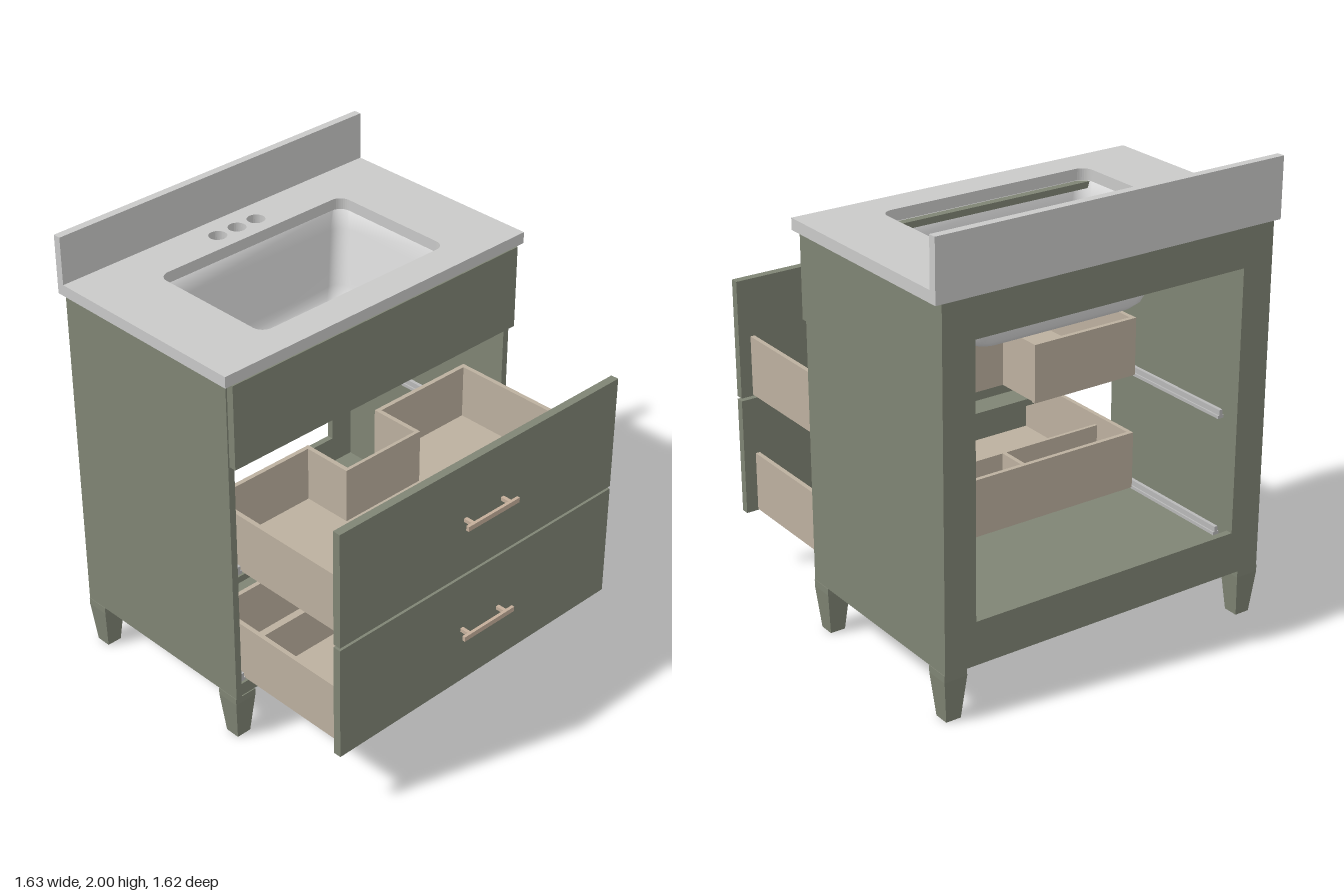
import * as THREE from 'three';
import { toCreasedNormals } from 'three/addons/utils/BufferGeometryUtils.js';

const mat = (name, color, side = THREE.FrontSide) => {
  const m = new THREE.MeshStandardMaterial({ color, side });
  m.name = name;
  return m;
};

// Outline of a rounded rectangle as points, hw/hd being half sizes
function roundedRect(hw, hd, r, perCorner = 8) {
  const pts = [];
  [[1, 1], [-1, 1], [-1, -1], [1, -1]].forEach(([sx, sy], c) => {
    for (let i = 0; i <= perCorner; i++) {
      const a = (c + i / perCorner) * Math.PI / 2;
      pts.push(new THREE.Vector2(sx * (hw - r) + r * Math.cos(a), sy * (hd - r) + r * Math.sin(a)));
    }
  });
  return pts;
}

// Basin shell lofted through rounded rectangles [halfWidth, halfDepth, radius, y]
function basinGeometry(sections) {
  const pos = [], idx = [];
  let n = 0;
  sections.forEach(([hw, hd, r, y]) => {
    const ring = roundedRect(hw, hd, r);
    n = ring.length;
    ring.forEach(p => pos.push(p.x, y, p.y));
  });
  for (let s = 0; s < sections.length - 1; s++) {
    for (let i = 0; i < n; i++) {
      const a = s * n + i, b = s * n + (i + 1) % n;
      idx.push(a, b, a + n, b, b + n, a + n);
    }
  }
  const g = new THREE.BufferGeometry();
  g.setAttribute('position', new THREE.Float32BufferAttribute(pos, 3));
  g.setIndex(idx);
  g.computeVertexNormals();
  return g;
}

export function createModel() {
  const green = mat('sagePaint', 0x7f8474);
  const wood = mat('drawerWood', 0xbcb09f);
  const stone = mat('counterStone', 0xc9c9c8);
  const ceramic = mat('basinCeramic', 0xd8d8d8, THREE.DoubleSide);
  const bronze = mat('handleMetal', 0xc4ae9a);
  const steel = mat('slideSteel', 0xb8b8b8);

  const model = new THREE.Group();
  model.name = 'vanity';
  const group = (name, parent = model) => {
    const g = new THREE.Group();
    g.name = name;
    parent.add(g);
    return g;
  };
  const add = (parent, name, geo, material) => {
    const m = new THREE.Mesh(geo, material);
    m.name = name;
    parent.add(m);
    return m;
  };
  // Box given by its limits on each axis
  const box = (parent, name, material, x0, x1, y0, y1, z0, z1) => {
    const m = add(parent, name, new THREE.BoxGeometry(x1 - x0, y1 - y0, z1 - z0), material);
    m.position.set((x0 + x1) / 2, (y0 + y1) / 2, (z0 + z1) / 2);
    return m;
  };

  // Cabinet: side panels, floor, open back frame, front rails
  const cabinet = group('cabinet');
  for (const s of [-1, 1]) {
    const side = (name, a, b, ...r) => box(cabinet, name, green, Math.min(s * a, s * b), Math.max(s * a, s * b), ...r);
    side('sidePanel', 0.755, 0.785, 0.22, 1.74, -0.81, 0.145);
    side('backStile', 0.64, 0.755, 0.41, 1.57, -0.81, -0.78);
  }
  box(cabinet, 'floor', green, -0.755, 0.755, 0.22, 0.28, -0.78, 0.14);
  box(cabinet, 'backBottomRail', green, -0.755, 0.755, 0.22, 0.41, -0.81, -0.78);
  box(cabinet, 'backTopRail', green, -0.755, 0.755, 1.57, 1.74, -0.81, -0.78);
  box(cabinet, 'middleRail', green, -0.755, 0.755, 0.79, 0.82, 0.03, 0.14);
  box(cabinet, 'topStretcher', green, -0.755, 0.755, 1.71, 1.738, 0, 0.145);
  box(cabinet, 'falseFront', green, -0.78, 0.78, 1.36, 1.735, 0.147, 0.18);

  // Tapered square legs
  const legs = group('legs');
  const taper = new THREE.CylinderGeometry(0.0525 * Math.SQRT2, 0.034 * Math.SQRT2, 0.19, 4, 1);
  taper.rotateY(Math.PI / 4);
  const legGeo = toCreasedNormals(taper, 0.5);
  for (const x of [-0.735, 0.735]) {
    for (const z of [-0.757, 0.092]) {
      add(legs, 'leg', legGeo, green).position.set(x, 0.095, z);
      box(legs, 'legTop', green, x - 0.0525, x + 0.0525, 0.19, 0.22, z - 0.0525, z + 0.0525);
    }
  }

  // Counter slab with a basin opening and three tap holes
  const top = group('countertop');
  const slab = new THREE.Shape([[-0.815, -0.18], [0.815, -0.18], [0.815, 0.815], [-0.815, 0.815]]
    .map(p => new THREE.Vector2(...p)));
  slab.holes.push(new THREE.Path(roundedRect(0.5, 0.305, 0.05).map(p => p.add(new THREE.Vector2(0, 0.27))).reverse()));
  for (const x of [-0.105, 0, 0.105]) {
    slab.holes.push(new THREE.Path().absarc(x, 0.67, 0.039, 0, Math.PI * 2, true));
  }
  const slabGeo = new THREE.ExtrudeGeometry(slab, { depth: 0.05, bevelEnabled: false, curveSegments: 16 });
  slabGeo.rotateX(-Math.PI / 2);
  add(top, 'counter', slabGeo, stone).position.y = 1.74;
  box(top, 'backsplash', stone, -0.815, 0.815, 1.79, 2, -0.815, -0.78);

  // Undermount basin, open at the drain
  const sink = group('sink');
  sink.position.z = -0.27;
  add(sink, 'basin', basinGeometry([
    [0.53, 0.335, 0.06, 1.739],
    [0.5, 0.305, 0.05, 1.738],
    [0.485, 0.29, 0.06, 1.66],
    [0.435, 0.243, 0.07, 1.43],
    [0.42, 0.228, 0.075, 1.385],
    [0.395, 0.205, 0.08, 1.36],
    [0.36, 0.175, 0.08, 1.35],
    [0.2, 0.11, 0.08, 1.341],
    [0.051, 0.051, 0.0509, 1.33],
  ]), ceramic);
  add(sink, 'drainCollar', new THREE.CylinderGeometry(0.051, 0.051, 0.02, 32, 1, true), ceramic).position.y = 1.32;

  // Open drawers; the upper one is notched for plumbing
  const drawer = (name, y, notched) => {
    const g = group(name);
    g.position.y = y;
    const h = 0.265, t = 0.02, back = -0.05, front = 0.714, mid = 0.18, nx = 0.21;
    box(g, 'drawerFront', green, -0.78, 0.78, -0.005, 0.52, 0.714, 0.75);
    box(g, 'bottomFront', wood, -0.705, 0.705, 0.005, 0.02, mid, front);
    for (const s of [-1, 1]) {
      const span = (n, a, b, ...r) => box(g, n, wood, Math.min(s * a, s * b), Math.max(s * a, s * b), ...r);
      span('drawerSide', 0.705, 0.725, 0, h, back, front);
      span('divider', nx - t, nx, 0.005, notched ? h : 0.22, back + t, mid + 0.015);
      span('drawerBack', nx - t, 0.705, 0, h, back, back + t);
      span('bottomWing', nx, 0.705, 0.005, 0.02, back + t, mid);
      if (!notched) span('crossDivider', nx, 0.705, 0.02, 0.22, mid, mid + 0.015);
    }
    box(g, 'notchWall', wood, -nx + t, nx - t, 0.005, notched ? h : 0.22, mid, mid + 0.015);
    if (!notched) {
      box(g, 'drawerBackMiddle', wood, -nx + t, nx - t, 0, h, back, back + t);
      box(g, 'bottomMiddle', wood, -nx + t, nx - t, 0.005, 0.02, back + t, mid);
    }
    // Bar pull on two posts
    const pull = group('handle', g);
    box(pull, 'handleBar', bronze, -0.145, 0.145, 0.248, 0.27, 0.792, 0.806);
    for (const x of [-0.105, 0.105]) {
      box(pull, 'handlePost', bronze, x - 0.008, x + 0.008, 0.251, 0.267, 0.75, 0.792);
    }
    // Slides on the cabinet sides
    for (const x of [-0.74, 0.74]) {
      box(g, 'slideBase', steel, x - 0.015, x + 0.015, -0.008, 0.006, -0.6, 0.135);
      box(g, 'slideRail', steel, x - 0.008, x + 0.008, 0.006, 0.03, -0.6, 0.135);
    }
  };
  drawer('lowerDrawer', 0.295, false);
  drawer('upperDrawer', 0.833, true);

  return model;
}
